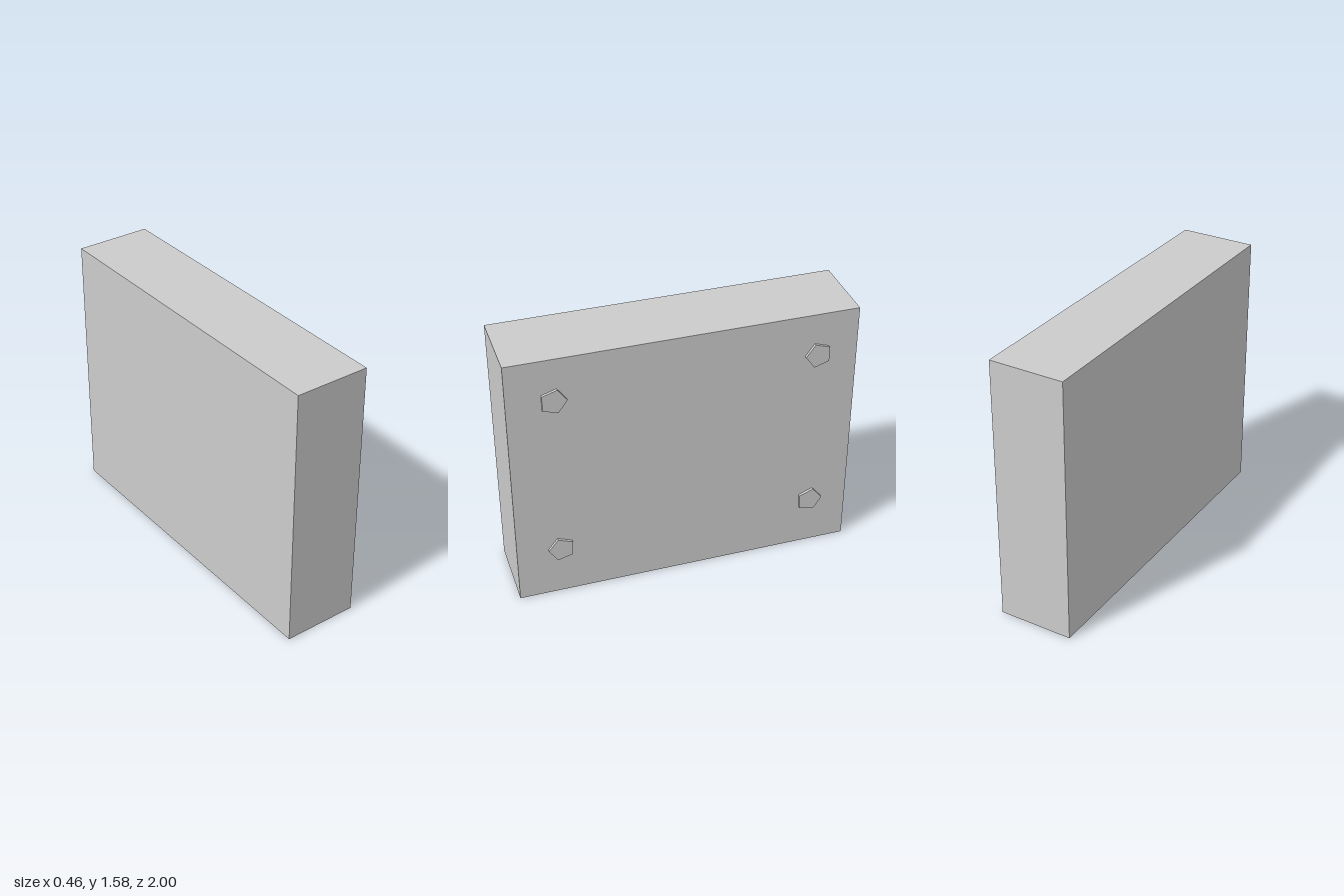
import * as THREE from 'three';

export function createModel() {
  const group = new THREE.Group();
  const material = new THREE.MeshStandardMaterial({ color: 0xcccccc, flatShading: true });

  // Slab body
  const body = new THREE.Mesh(new THREE.BoxGeometry(0.445, 1.58, 2), material);
  body.name = 'body';
  body.position.set(-0.0085, 0.79, 0);
  group.add(body);

  // Five-sided studs on the +x face: [name, y, z, direction of one corner in degrees]
  const studs = [
    ['upperFrontStud', 1.323, 0.742, 0],
    ['upperBackStud', 1.323, -0.768, 180],
    ['lowerFrontStud', 0.312, 0.742, 176.5],
    ['lowerBackStud', 0.312, -0.768, 3.5],
  ];
  for (const [name, y, z, angle] of studs) {
    const start = THREE.MathUtils.degToRad(angle - 180);
    const geometry = new THREE.CylinderGeometry(0.077, 0.077, 0.027, 5, 1, false, start);
    geometry.rotateZ(-Math.PI / 2);
    const stud = new THREE.Mesh(geometry, material);
    stud.name = name;
    stud.position.set(0.2165, y, z);
    group.add(stud);
  }
  return group;
}
